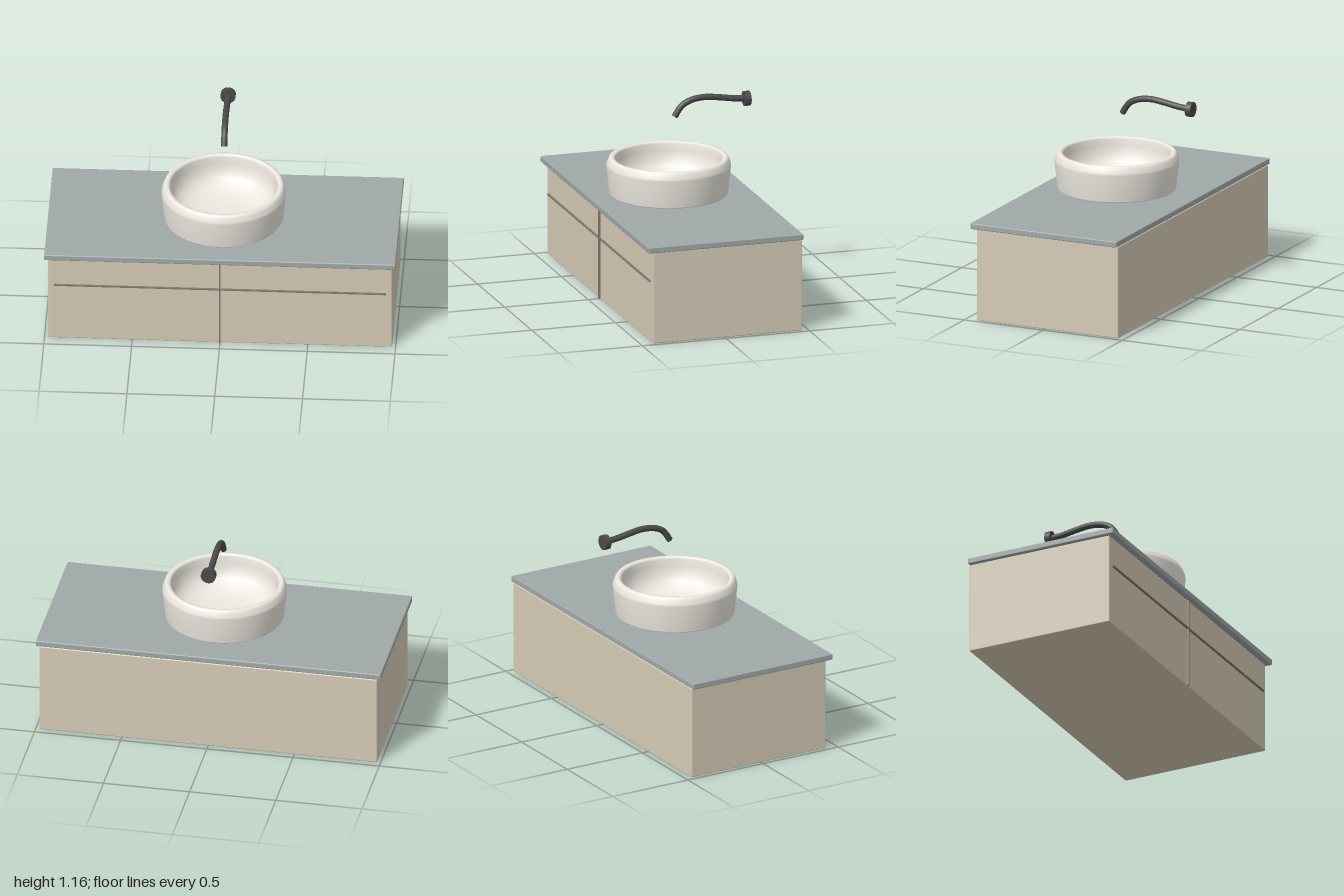
import * as THREE from 'three';
import { RoundedBoxGeometry } from 'three/addons/geometries/RoundedBoxGeometry.js';

const material = (color, side = THREE.FrontSide) => new THREE.MeshStandardMaterial({ color, side });

export function createModel() {
  const model = new THREE.Group();
  const beige = material(0xd6cbb6);
  const stone = material(0xa0a8a8);
  const ceramic = material(0xece8e0, THREE.DoubleSide);
  const metal = material(0x4a4a4a);
  const seam = material(0x85796a);

  const add = (name, geometry, mat, x = 0, y = 0, z = 0, parent = model) => {
    const mesh = new THREE.Mesh(geometry, mat);
    mesh.name = name;
    mesh.position.set(x, y, z);
    parent.add(mesh);
    return mesh;
  };

  // Cabinet and overhanging countertop
  add('cabinet', new RoundedBoxGeometry(1.96, 0.54, 0.893, 2, 0.006), beige, 0, 0.27, -0.0165);
  add('countertop', new RoundedBoxGeometry(2, 0.035, 0.926, 2, 0.006), stone, 0, 0.5575, 0);

  // Thin strips on the front: one between the doors, one handle line per door
  add('doorDivider', new THREE.BoxGeometry(0.008, 0.535, 0.014), seam, 0, 0.2695, 0.434);
  for (const side of [-1, 1]) {
    const name = side > 0 ? 'leftHandleStrip' : 'rightHandleStrip';
    add(name, new THREE.BoxGeometry(0.941, 0.008, 0.014), seam, side * 0.4745, 0.36, 0.434);
  }

  // Round vessel basin: outside from the base up, over the rim, down the bowl
  const profile = [
    [0, 0.575], [0.215, 0.575], [0.28, 0.583], [0.335, 0.592], [0.339, 0.598],
    [0.348, 0.68], [0.355, 0.755], [0.353, 0.768], [0.344, 0.79], [0.337, 0.803],
    [0.325, 0.806], [0.312, 0.803], [0.305, 0.793], [0.303, 0.755], [0.295, 0.71],
    [0.275, 0.67], [0.235, 0.637], [0.17, 0.618], [0.09, 0.61], [0, 0.608],
  ].map(([r, y]) => new THREE.Vector2(r, y));
  add('basin', new THREE.LatheGeometry(profile, 64), ceramic, 0, 0, 0.02);

  // Wall-mounted spout with a round flange
  const faucet = new THREE.Group();
  faucet.name = 'faucet';
  model.add(faucet);
  const flange = add('faucetFlange', new THREE.CylinderGeometry(0.043, 0.043, 0.034, 32),
    metal, 0, 1.108, -0.446, faucet);
  flange.rotation.x = Math.PI / 2;

  const path = new THREE.CatmullRomCurve3([
    [1.109, -0.44], [1.115, -0.37], [1.129, -0.28], [1.138, -0.2],
    [1.129, -0.12], [1.103, -0.064], [1.073, -0.038], [1.037, -0.016],
  ].map(([y, z]) => new THREE.Vector3(0, y, z)));
  add('spout', new THREE.TubeGeometry(path, 48, 0.018, 16), metal, 0, 0, 0, faucet);

  // Closed tip of the spout
  const tip = path.getPoint(1);
  const cap = add('spoutTip', new THREE.CircleGeometry(0.018, 16), metal, tip.x, tip.y, tip.z, faucet);
  cap.quaternion.setFromUnitVectors(new THREE.Vector3(0, 0, 1), path.getTangent(1));

  return model;
}
